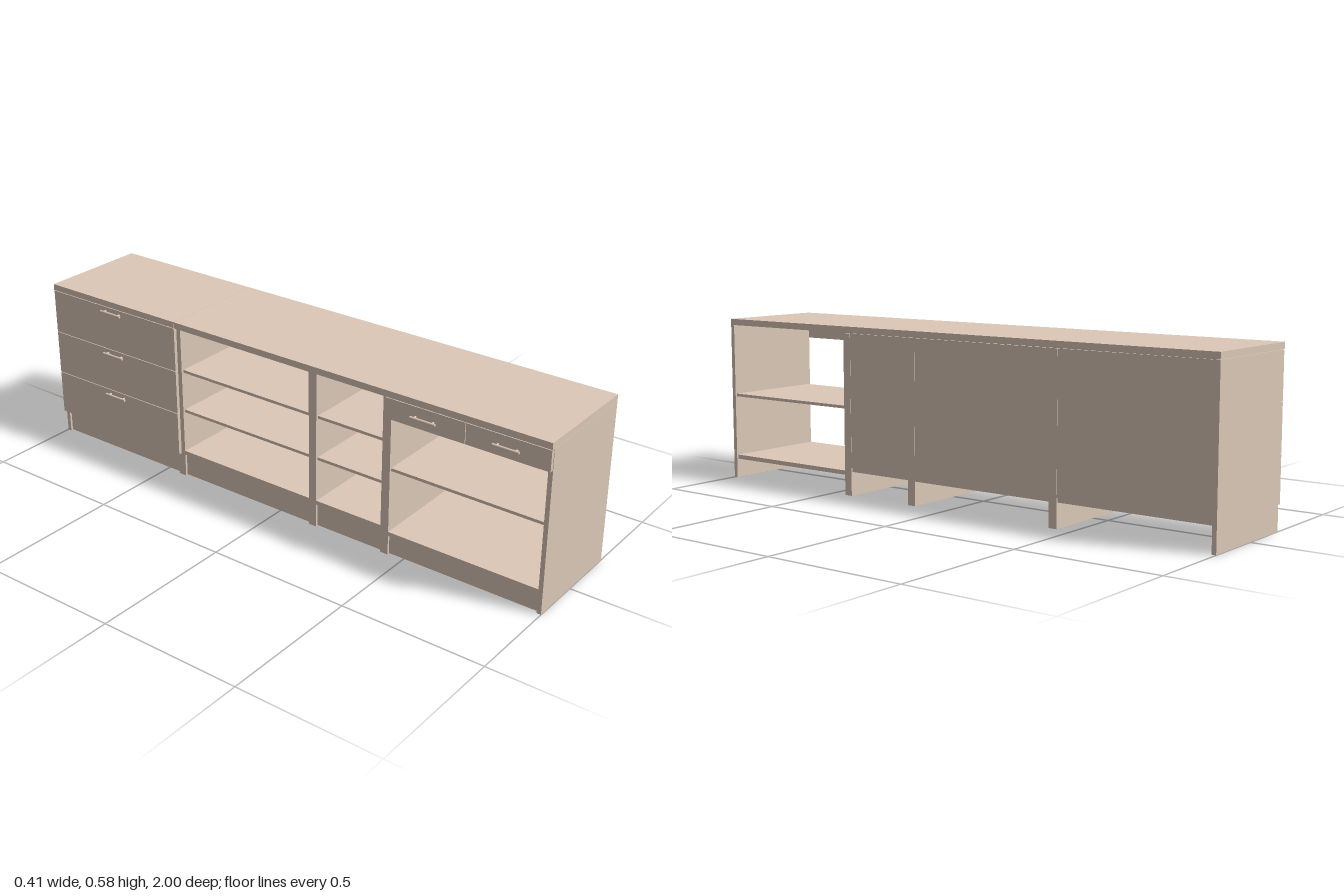
import * as THREE from 'three';

const wood = new THREE.MeshStandardMaterial({ color: 0xdcc8b8 });
const FRONT = -0.178, BACK = 0.206, T = 0.015, TOP = 0.56, PLINTH = 0.083;

// Box given by its minimum and maximum on each axis
function board(parent, name, [x0, x1], [y0, y1], [z0, z1]) {
  const mesh = new THREE.Mesh(new THREE.BoxGeometry(x1 - x0, y1 - y0, z1 - z0), wood);
  mesh.position.set((x0 + x1) / 2, (y0 + y1) / 2, (z0 + z1) / 2);
  mesh.name = name;
  parent.add(mesh);
}

// Bar handle on two posts
function handle(parent, y, z) {
  const g = new THREE.Group();
  g.name = 'handle';
  const bar = new THREE.Mesh(new THREE.CylinderGeometry(0.0045, 0.0045, 0.09, 16), wood);
  bar.name = 'handleBar';
  bar.rotation.x = Math.PI / 2;
  bar.position.x = -0.0125;
  g.add(bar);
  for (const s of [-1, 1]) {
    const post = new THREE.Mesh(new THREE.CylinderGeometry(0.0035, 0.0035, 0.0125, 12), wood);
    post.name = 'handlePost';
    post.rotation.z = Math.PI / 2;
    post.position.set(-0.00625, 0, s * 0.032);
    g.add(post);
  }
  g.position.set(-0.1905, y, z);
  parent.add(g);
}

// Drawer front with its handle a little below the top edge
function drawerFront(parent, y0, y1, z0, z1, handleY) {
  const gap = 0.001;
  board(parent, 'drawerFront', [-0.191, FRONT - 0.0005], [y0 + gap, y1 - gap], [z0 + gap, z1 - gap]);
  handle(parent, handleY, (z0 + z1) / 2);
}

// Carcass: two sides, bottom, plinth, shelves and an optional back panel
function cabinet({ name, z0, z1, shelves, floor = PLINTH, back }) {
  const g = new THREE.Group();
  g.name = name;
  const inner = [z0 + T, z1 - T];
  board(g, 'sidePanel', [FRONT, BACK], [0, TOP], [z0, z0 + T]);
  board(g, 'sidePanel', [FRONT, BACK], [0, TOP], [z1 - T, z1]);
  board(g, 'bottomPanel', [FRONT, 0.2], [floor, floor + T], inner);
  board(g, 'plinth', [FRONT + 0.008, FRONT + 0.008 + T], [0.002, floor], inner);
  for (const y of shelves) board(g, 'shelf', [FRONT + 0.008, 0.2], [y - 0.005, y + 0.005], inner);
  if (back !== undefined) board(g, 'backPanel', [0.2, 0.205], [back, TOP], inner);
  return g;
}

export function createModel() {
  const model = new THREE.Group();
  model.name = 'cabinetRow';
  const z = [-1, -0.429, 0.143, 0.429, 1];

  // Three-drawer unit
  const drawers = cabinet({ name: 'drawerCabinet', z0: z[0], z1: z[1], shelves: [], back: 0.098 });
  const h = (TOP - PLINTH) / 3;
  for (let i = 0; i < 3; i++) {
    const y = PLINTH + i * h;
    drawerFront(drawers, y, y + h, z[0], z[1], y + h - 0.016);
  }

  // Open shelf units, wide and narrow
  const wide = cabinet({ name: 'wideShelfCabinet', z0: z[1], z1: z[2], shelves: [0.25, 0.4], back: 0.083 });
  const narrow = cabinet({ name: 'narrowShelfCabinet', z0: z[2], z1: z[3], shelves: [0.25, 0.4], back: 0.098 });

  // Backless unit with two small drawers under the worktop
  const open = cabinet({ name: 'openCabinet', z0: z[3], z1: z[4], shelves: [0.305], floor: 0.069 });
  const mid = (z[3] + z[4]) / 2;
  drawerFront(open, 0.488, TOP, z[3], mid, 0.525);
  drawerFront(open, 0.488, TOP, mid, z[4], 0.525);

  model.add(drawers, wide, narrow, open);

  // Worktop in two lengths
  board(model, 'worktop', [-0.191, BACK], [TOP + 0.001, 0.583], [z[0], z[1] - 0.0005]);
  board(model, 'worktop', [-0.191, BACK], [TOP + 0.001, 0.583], [z[1] + 0.0005, z[4]]);
  return model;
}
